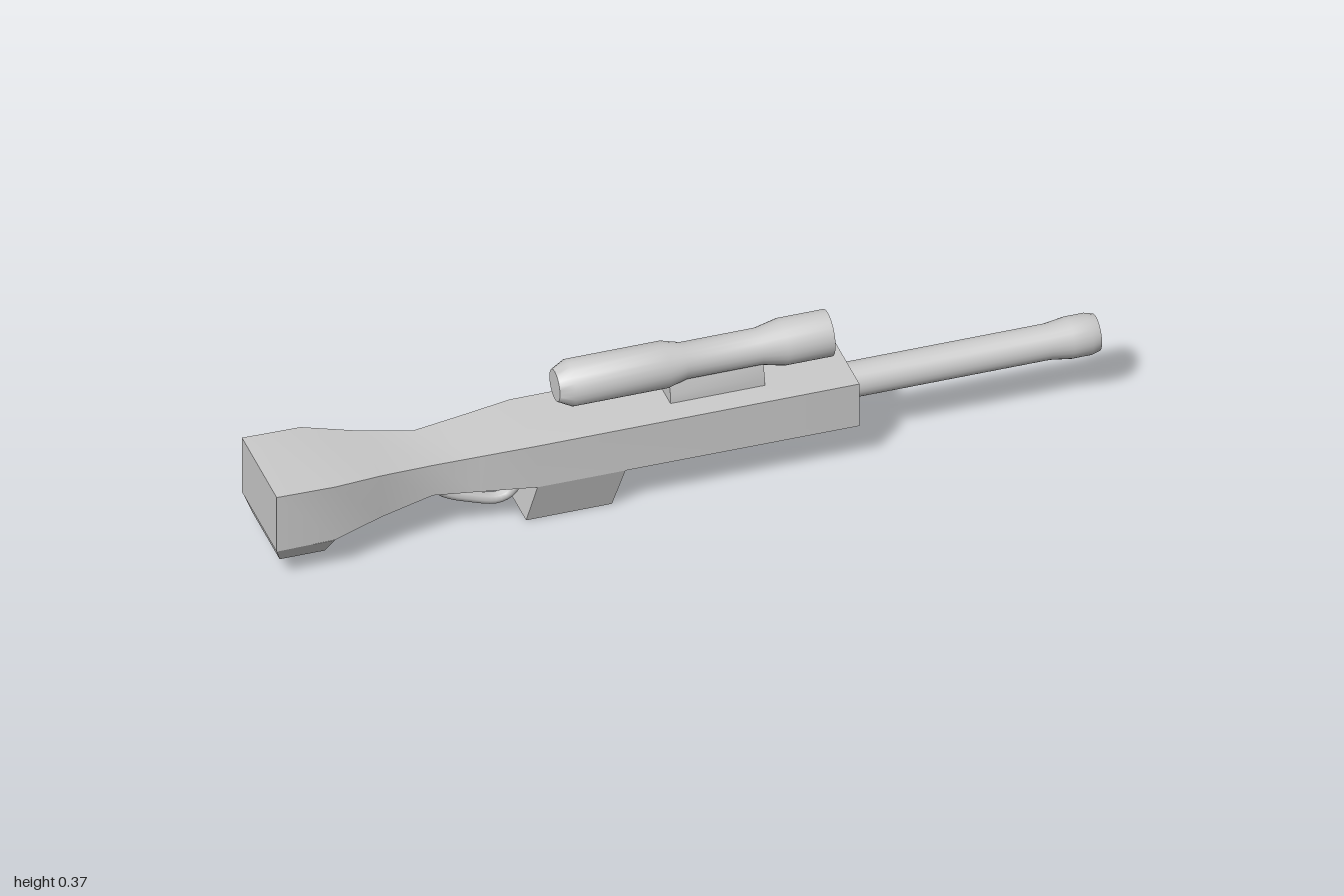
import * as THREE from 'three';
import { toCreasedNormals } from 'three/addons/utils/BufferGeometryUtils.js';

const material = new THREE.MeshStandardMaterial({ color: 0xcccccc });

function part(name, geometry, crease = 0.6) {
  const mesh = new THREE.Mesh(toCreasedNormals(geometry, crease), material);
  mesh.name = name;
  return mesh;
}

// Capped skin over four-cornered rings
function loft(rings) {
  const n = 4, index = [];
  for (let i = 0; i < rings.length - 1; i++) {
    for (let j = 0; j < n; j++) {
      const a = i * n + j, b = i * n + (j + 1) % n;
      index.push(a, b, b + n, a, b + n, a + n);
    }
  }
  const e = (rings.length - 1) * n;
  index.push(0, 2, 1, 0, 3, 2, e, e + 1, e + 2, e, e + 2, e + 3);
  const g = new THREE.BufferGeometry();
  g.setAttribute('position', new THREE.Float32BufferAttribute(rings.flat(2), 3));
  g.setIndex(index);
  return g;
}

// Rectangle across the length, and rectangle at a height
const ringX = (x, y0, y1, h) => [[x, y0, -h], [x, y1, -h], [x, y1, h], [x, y0, h]];
const ringY = (y, x0, x1, z0, z1) => [[x0, y, z0], [x0, y, z1], [x1, y, z1], [x1, y, z0]];

// Round part along x from [x, radius] pairs
function turned(name, profile, y) {
  const points = profile.map(([x, r]) => new THREE.Vector2(r, x));
  const mesh = part(name, new THREE.LatheGeometry(points, 24).rotateZ(-Math.PI / 2));
  mesh.position.y = y;
  return mesh;
}

export function createModel() {
  const model = new THREE.Group();

  // Stock and receiver in one run
  model.add(part('body', loft([
    ringX(-1, 0.09, 0.24, 0.124),
    ringX(-0.86, 0.092, 0.238, 0.124),
    ringX(-0.74, 0.108, 0.222, 0.094),
    ringX(-0.61, 0.124, 0.207, 0.072),
    ringX(-0.5, 0.117, 0.214, 0.083),
    ringX(-0.37, 0.109, 0.223, 0.097),
    ringX(0.4, 0.107, 0.223, 0.097),
  ])));

  // Lower toe of the butt
  model.add(part('buttToe', loft([
    ringY(0.05, -0.985, -0.877, -0.1, 0.1),
    ringY(0.091, -1, -0.86, -0.124, 0.124),
  ])));

  // Magazine leaning to one side
  model.add(part('magazine', loft([
    ringY(0, -0.385, -0.18, -0.13, 0.065),
    ringY(0.11, -0.368, -0.158, -0.097, 0.097),
  ])));

  // Barrel with flared muzzle
  model.add(turned('barrel', [
    [0.38, 0], [0.38, 0.042], [0.88, 0.042], [0.93, 0.049],
    [0.975, 0.049], [0.997, 0.043], [1, 0],
  ], 0.168));

  // Scope and its mount
  model.add(turned('scope', [
    [-0.295, 0], [-0.295, 0.038], [-0.262, 0.055], [-0.035, 0.055], [0.01, 0.043],
    [0.19, 0.043], [0.245, 0.055], [0.357, 0.055], [0.36, 0],
  ], 0.31));
  model.add(part('scopeMount', loft([
    ringY(0.215, -0.03, 0.195, -0.034, 0.034),
    ringY(0.245, -0.03, 0.195, -0.034, 0.034),
    ringY(0.285, -0.03, 0.195, -0.022, 0.022),
  ])));

  // Trigger guard and trigger
  const tube = (name, pts, r) => {
    const curve = new THREE.CatmullRomCurve3(pts.map(([x, y]) => new THREE.Vector3(x, y, 0)));
    return part(name, new THREE.TubeGeometry(curve, 24, r, 8), 1);
  };
  model.add(tube('triggerGuard', [
    [-0.6, 0.125], [-0.565, 0.08], [-0.5, 0.05], [-0.43, 0.032], [-0.395, 0.05], [-0.382, 0.115],
  ], 0.014));
  model.add(tube('trigger', [[-0.42, 0.12], [-0.41, 0.1], [-0.395, 0.085]], 0.009));

  // Slight sideways offset of everything above
  model.children.forEach((m) => { m.position.z = 0.003; });
  return model;
}
